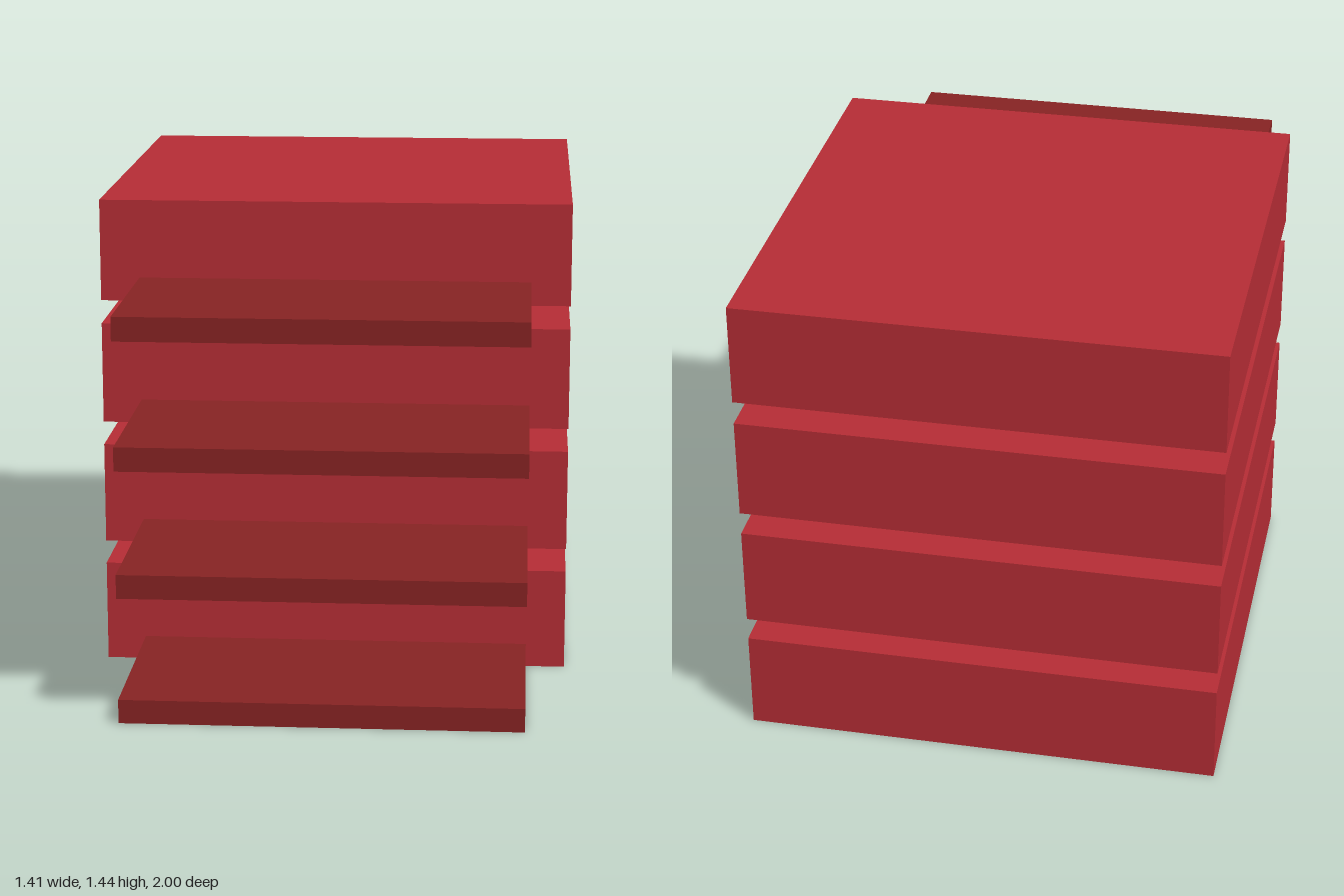
import * as THREE from 'three';

export function createModel() {
  const model = new THREE.Group();
  model.name = 'floatingTiers';

  const red = new THREE.MeshStandardMaterial({ color: 0xb62d35 });
  red.name = 'red';
  const darkRed = new THREE.MeshStandardMaterial({ color: 0x872323 });
  darkRed.name = 'darkRed';

  // A box resting on the tier's floor, spanning zBack to zFront
  function slab(name, width, height, zBack, zFront, material) {
    const geometry = new THREE.BoxGeometry(width, height, zFront - zBack);
    const mesh = new THREE.Mesh(geometry, material);
    mesh.name = name;
    mesh.position.set(0, height / 2, (zBack + zFront) / 2);
    return mesh;
  }

  // Four separate tiers: a thick block with a thin ledge in front
  const tierCount = 4;
  const tierPitch = 0.377;
  for (let i = 0; i < tierCount; i++) {
    const tier = new THREE.Group();
    tier.name = `tier${i + 1}`;
    tier.position.y = i * tierPitch;
    tier.add(slab('block', 1.412, 0.306, -1, 0.411, red));
    tier.add(slab('ledge', 1.176, 0.071, 0.411, 1, darkRed));
    model.add(tier);
  }

  return model;
}
